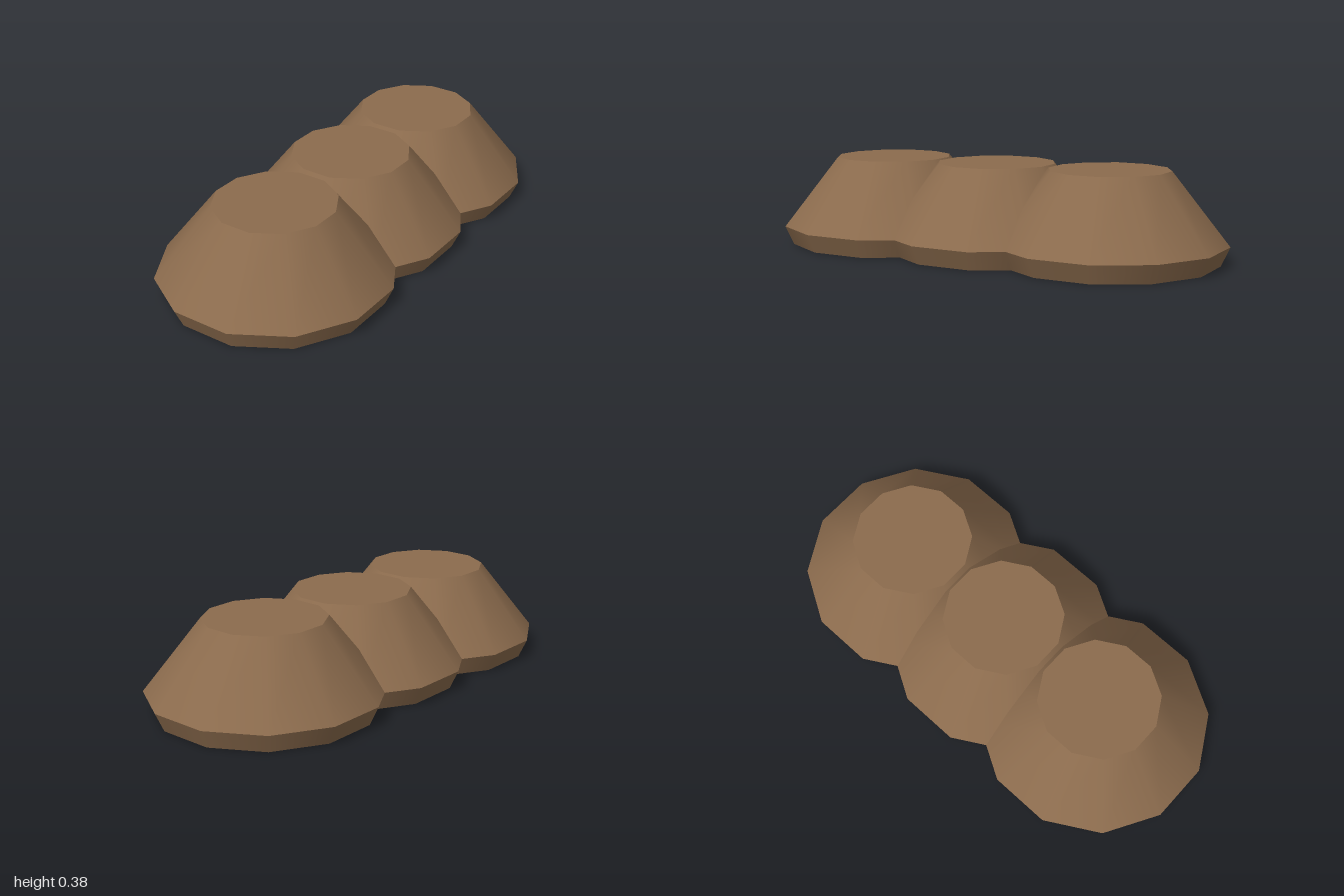
import * as THREE from 'three';

const SIDES = 12;
const TURN = Math.PI / SIDES; // puts flat sides toward x and z
const corner = (flat) => flat / Math.cos(TURN); // flat-side distance to corner radius

export function createModel() {
  const group = new THREE.Group();
  group.name = 'moundRow';
  const brown = new THREE.MeshStandardMaterial({ color: 0x8b6b4d });
  brown.name = 'earthBrown';

  const rTop = corner(0.245), rRim = corner(0.475), rBase = corner(0.44);
  const rimY = 0.08, topY = 0.38;

  // Open sloping band, smooth around its sides
  const band = (upper, lower, y0, y1) =>
    new THREE.CylinderGeometry(upper, lower, y1 - y0, SIDES, 1, true, TURN)
      .translate(0, (y0 + y1) / 2, 0);
  // Flat twelve-sided cap, facing up (1) or down (-1)
  const cap = (r, y, facing) =>
    new THREE.CircleGeometry(r, SIDES, TURN).rotateX(-facing * Math.PI / 2).translate(0, y, 0);

  const parts = {
    slope: band(rTop, rRim, rimY, topY),
    footing: band(rRim, rBase, 0, rimY),
    flatTop: cap(rTop, topY, 1),
    underside: cap(rBase, 0, -1),
  };

  // Three overlapping mounds in a line from front to back
  [['frontMound', 0.525], ['middleMound', 0], ['backMound', -0.525]].forEach(([name, z]) => {
    const mound = new THREE.Group();
    mound.name = name;
    mound.position.z = z;
    for (const [part, geometry] of Object.entries(parts)) {
      const mesh = new THREE.Mesh(geometry, brown);
      mesh.name = part;
      mound.add(mesh);
    }
    group.add(mound);
  });
  return group;
}
